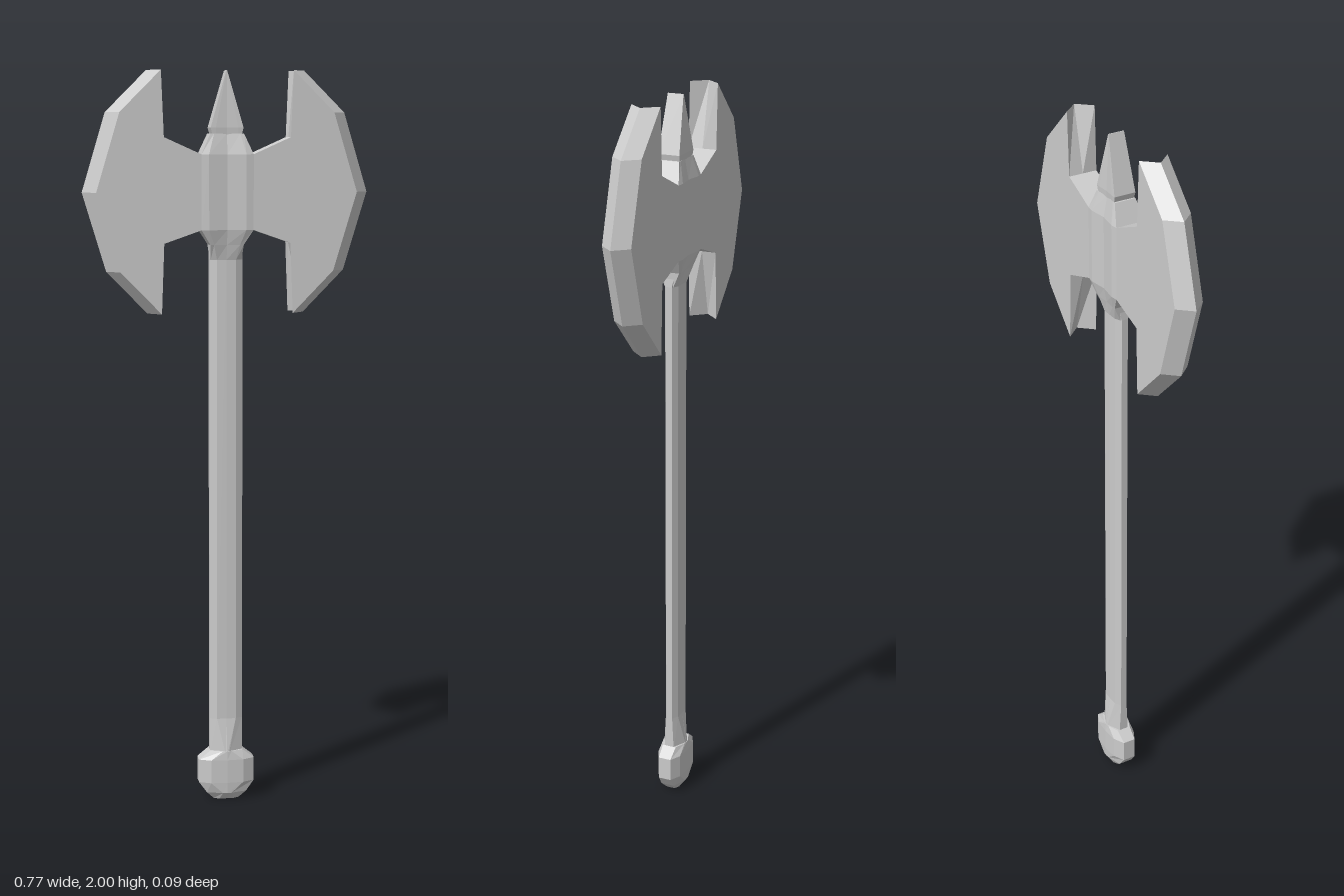
import * as THREE from 'three';

const steel = new THREE.MeshStandardMaterial({ color: 0xcccccc, flatShading: true });
steel.name = 'grey steel';

function facetMesh(name, positions) {
  const geo = new THREE.BufferGeometry();
  geo.setAttribute('position', new THREE.Float32BufferAttribute(positions, 3));
  geo.computeVertexNormals();
  const mesh = new THREE.Mesh(geo, steel);
  mesh.name = name;
  return mesh;
}

// Ten-sided ring: middle crease depth, front facet corner, side facet corner
function ring([y, cz, fx, fz, ex, ez]) {
  return [[0, cz], [fx, fz], [ex, ez], [ex, -ez], [fx, -fz],
    [0, -cz], [-fx, -fz], [-ex, -ez], [-ex, ez], [-fx, fz]].map(([x, z]) => [x, y, z]);
}

// Skin a stack of rings from bottom to top and cap both ends
function loft(name, rows) {
  const rings = rows.map(ring), out = [];
  const tri = (...pts) => pts.forEach((p) => out.push(...p));
  const last = rings.length - 1;
  const low = [0, rows[0][0], 0], high = [0, rows[last][0], 0];
  for (let i = 0; i < 10; i++) {
    const j = (i + 1) % 10;
    for (let r = 0; r < last; r++) {
      const a = rings[r], b = rings[r + 1];
      tri(a[i], a[j], b[j]);
      tri(a[i], b[j], b[i]);
    }
    tri(low, rings[0][j], rings[0][i]);
    tri(high, rings[last][i], rings[last][j]);
  }
  return facetMesh(name, out);
}

// Blade: flat cheeks joined by a mid-plane ridge that is shifted outward at the edge
function blade(name) {
  const depth = 0.04, shift = 0.035;
  const outline = [
    [0.03, 1.58, 0], [0.07, 1.58, 0], [0.17, 1.545, 0],
    [0.177, 1.357, 1], [0.287, 1.47, 1], [0.35, 1.68, 1], [0.287, 1.89, 1], [0.177, 2, 1],
    [0.17, 1.825, 0], [0.07, 1.78, 0], [0.03, 1.78, 0],
  ];
  const cheek = (z) => outline.map(([x, y]) => [x, y, z]);
  const front = cheek(depth), back = cheek(-depth);
  const ridge = outline.map(([x, y, s]) => [x + s * shift, y, 0]);
  const out = [];
  const tri = (...pts) => pts.forEach((p) => out.push(...p));
  const flat = outline.map(([x, y]) => new THREE.Vector2(x, y));
  for (const [a, b, c] of THREE.ShapeUtils.triangulateShape(flat, [])) {
    tri(front[a], front[b], front[c]);
    tri(back[a], back[c], back[b]);
  }
  for (let i = 0; i < outline.length; i++) {
    const j = (i + 1) % outline.length;
    for (const [p, q] of [[front, ridge], [ridge, back]]) {
      tri(p[i], q[i], q[j]);
      tri(p[i], q[j], p[j]);
    }
  }
  return facetMesh(name, out);
}

export function createModel() {
  const model = new THREE.Group();
  model.name = 'doubleAxe';

  // Faceted pommel
  model.add(loft('pommel', [
    [0, 0.02, 0.02, 0.02, 0.035, 0.012],
    [0.02, 0.035, 0.012, 0.034, 0.055, 0.02],
    [0.05, 0.037, 0.045, 0.034, 0.077, 0.018],
    [0.115, 0.037, 0.045, 0.034, 0.077, 0.018],
    [0.14, 0.035, 0.012, 0.033, 0.045, 0.02],
  ]));

  // Long handle, flaring toward the pommel
  model.add(loft('handle', [
    [0.13, 0.035, 0.004, 0.034, 0.045, 0.014],
    [0.23, 0.02, 0.026, 0.019, 0.045, 0.009],
    [1.5, 0.02, 0.026, 0.019, 0.045, 0.009],
    [1.55, 0.03, 0.026, 0.03, 0.042, 0.02],
  ]));

  // Socket holding the blades
  model.add(loft('socket', [
    [1.5, 0.02, 0.026, 0.02, 0.042, 0.012],
    [1.54, 0.028, 0.035, 0.031, 0.045, 0.03],
    [1.58, 0.036, 0.05, 0.043, 0.07, 0.04],
    [1.78, 0.036, 0.05, 0.043, 0.07, 0.04],
    [1.835, 0.026, 0.035, 0.03, 0.045, 0.03],
  ]));

  // Top spike ending in a chisel edge
  model.add(loft('spike', [
    [1.81, 0.025, 0.03, 0.027, 0.034, 0.027],
    [1.85, 0.028, 0.03, 0.03, 0.044, 0.03],
    [2, 0.022, 0.0005, 0.022, 0.001, 0.022],
  ]));

  // Two matching blades
  const left = blade('leftBlade'), right = blade('rightBlade');
  right.rotation.y = Math.PI;
  model.add(left, right);
  return model;
}
